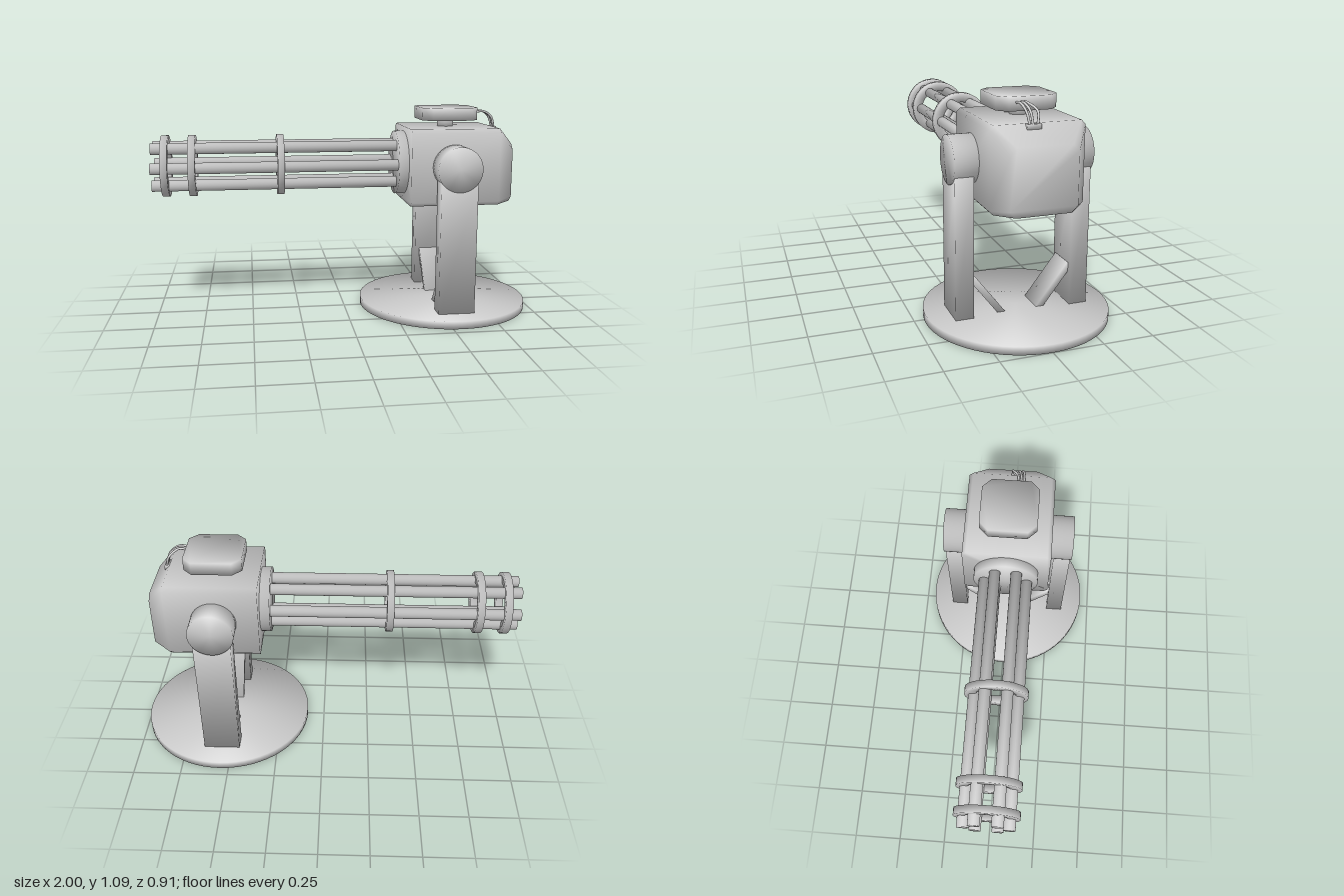
import * as THREE from 'three';
import { mergeVertices } from 'three/addons/utils/BufferGeometryUtils.js';

const CX = 0.546; // vertical axis of the stand
const AXIS_Y = 0.793; // height of the pivot and barrel axis

// Weld the corners and average the face normals there, weighted by corner angle
function smooth(geometry) {
  const g = geometry.clone();
  g.deleteAttribute('normal');
  g.deleteAttribute('uv');
  const welded = mergeVertices(g, 1e-5);
  const { index, attributes: { position } } = welded;
  const normals = Array.from({ length: position.count }, () => new THREE.Vector3());
  for (let f = 0; f < index.count; f += 3) {
    const ids = [0, 1, 2].map((k) => index.getX(f + k));
    const [a, b, c] = ids.map((i) => new THREE.Vector3().fromBufferAttribute(position, i));
    const faceNormal = new THREE.Triangle(a, b, c).getNormal(new THREE.Vector3());
    [[a, b, c], [b, c, a], [c, a, b]].forEach(([p, q, r], k) => {
      const angle = q.clone().sub(p).angleTo(r.clone().sub(p));
      normals[ids[k]].addScaledVector(faceNormal, angle);
    });
  }
  const flat = normals.flatMap((n) => n.normalize().toArray());
  welded.setAttribute('normal', new THREE.Float32BufferAttribute(flat, 3));
  return welded;
}

// Closed solid from matching cross-sections [x, y, z], joined in a loop
function loft(sections) {
  const n = sections[0].length;
  const index = [];
  for (let s = 0; s < sections.length - 1; s++) {
    for (let i = 0; i < n; i++) {
      const a = s * n + i, b = s * n + (i + 1) % n;
      index.push(a, b, a + n, b, b + n, a + n);
    }
  }
  const last = (sections.length - 1) * n;
  for (let i = 1; i < n - 1; i++) {
    index.push(0, i + 1, i, last, last + i, last + i + 1);
  }
  const g = new THREE.BufferGeometry();
  g.setAttribute('position', new THREE.Float32BufferAttribute(sections.flat(2), 3));
  g.setIndex(index);
  return g;
}

// Chamfered rectangle across x, counter-clockwise seen from +x
function section(x, halfZ, bottom, top, c) {
  return [
    [halfZ, bottom + c], [halfZ - c, bottom], [c - halfZ, bottom], [-halfZ, bottom + c],
    [-halfZ, top - c], [c - halfZ, top], [halfZ - c, top], [halfZ, top - c],
  ].map(([z, y]) => [x, y, z]);
}

// Cylinder lying along x
const rodX = (r, length, sides) => new THREE.CylinderGeometry(r, r, length, sides).rotateZ(Math.PI / 2);

export function createModel() {
  const model = new THREE.Group();
  const material = new THREE.MeshStandardMaterial({ color: 0xcccccc });

  function add(name, geometry, x = 0, y = 0, z = 0) {
    const mesh = new THREE.Mesh(smooth(geometry), material);
    mesh.name = name;
    mesh.position.set(x, y, z);
    model.add(mesh);
    return mesh;
  }

  // Round base
  add('base', new THREE.CylinderGeometry(0.453, 0.453, 0.04, 64), CX, 0.02, 0);

  // Legs, pivots and slanted braces on both sides
  for (const side of [1, -1]) {
    add('leg', new THREE.BoxGeometry(0.19, 0.7, 0.09), CX, 0.38, side * 0.29);
    const pivot = new THREE.CylinderGeometry(0.115, 0.115, 0.16, 48).rotateX(Math.PI / 2);
    add('pivot', pivot, CX, AXIS_Y, side * 0.261);
    const brace = add('brace', new THREE.BoxGeometry(0.14, 0.27, 0.032), CX, 0.134, side * 0.172);
    brace.rotation.x = side * Math.atan2(0.15, 0.195);
  }

  // Housing, tapered at the rear
  add('housing', loft([
    section(0.32, 0.226, 0.588, 0.986, 0.02),
    section(0.785, 0.226, 0.588, 0.986, 0.02),
    section(0.873, 0.16, 0.592, 0.9, 0.03),
  ]));

  // Barrel mount and six barrels
  add('barrelMount', rodX(0.168, 0.07, 48), 0.305, AXIS_Y, 0);
  for (let i = 0; i < 6; i++) {
    const a = i * Math.PI / 3;
    add('barrel', rodX(0.029, 1.3, 20), -0.35, AXIS_Y + 0.11 * Math.sin(a), 0.11 * Math.cos(a));
  }

  // Clamp rings around the barrels
  const ringProfile = [[0.106, -0.018], [0.159, -0.018], [0.159, 0.018], [0.106, 0.018], [0.106, -0.018]]
    .map(([r, h]) => new THREE.Vector2(r, h));
  const ring = new THREE.LatheGeometry(ringProfile, 48).rotateZ(Math.PI / 2);
  for (const x of [-0.93, -0.793, -0.34]) add('clampRing', ring, x, AXIS_Y, 0);

  // Sensor head: chamfered plate on a short post
  add('sensorPost', new THREE.CylinderGeometry(0.042, 0.042, 0.06, 24), CX, 1.005, 0);
  const w = 0.146, c = 0.1;
  const outline = [[w, -c], [w, c], [c, w], [-c, w], [-w, c], [-w, -c], [-c, -w], [c, -w]]
    .map(([x, z]) => new THREE.Vector2(x, z));
  const head = new THREE.ExtrudeGeometry(new THREE.Shape(outline), { depth: 0.065, bevelEnabled: false });
  add('sensorHead', head.rotateX(-Math.PI / 2), CX, 1.023, 0);

  // Socket and cables from the head to the housing; z at start, bend and end
  add('cableSocket', new THREE.BoxGeometry(0.03, 0.026, 0.068), 0.795, 0.972, 0.028);
  for (const [z0, z1, z2] of [[0.064, 0.055, 0.045], [0.046, 0.036, 0.03], [0.03, 0.002, 0.01]]) {
    const path = new THREE.CatmullRomCurve3([
      new THREE.Vector3(0.68, 1.06, z0),
      new THREE.Vector3(0.735, 1.066, z0),
      new THREE.Vector3(0.783, 1.035, z1),
      new THREE.Vector3(0.802, 0.975, z2),
    ]);
    add('cable', new THREE.TubeGeometry(path, 20, 0.006, 8));
  }

  return model;
}
